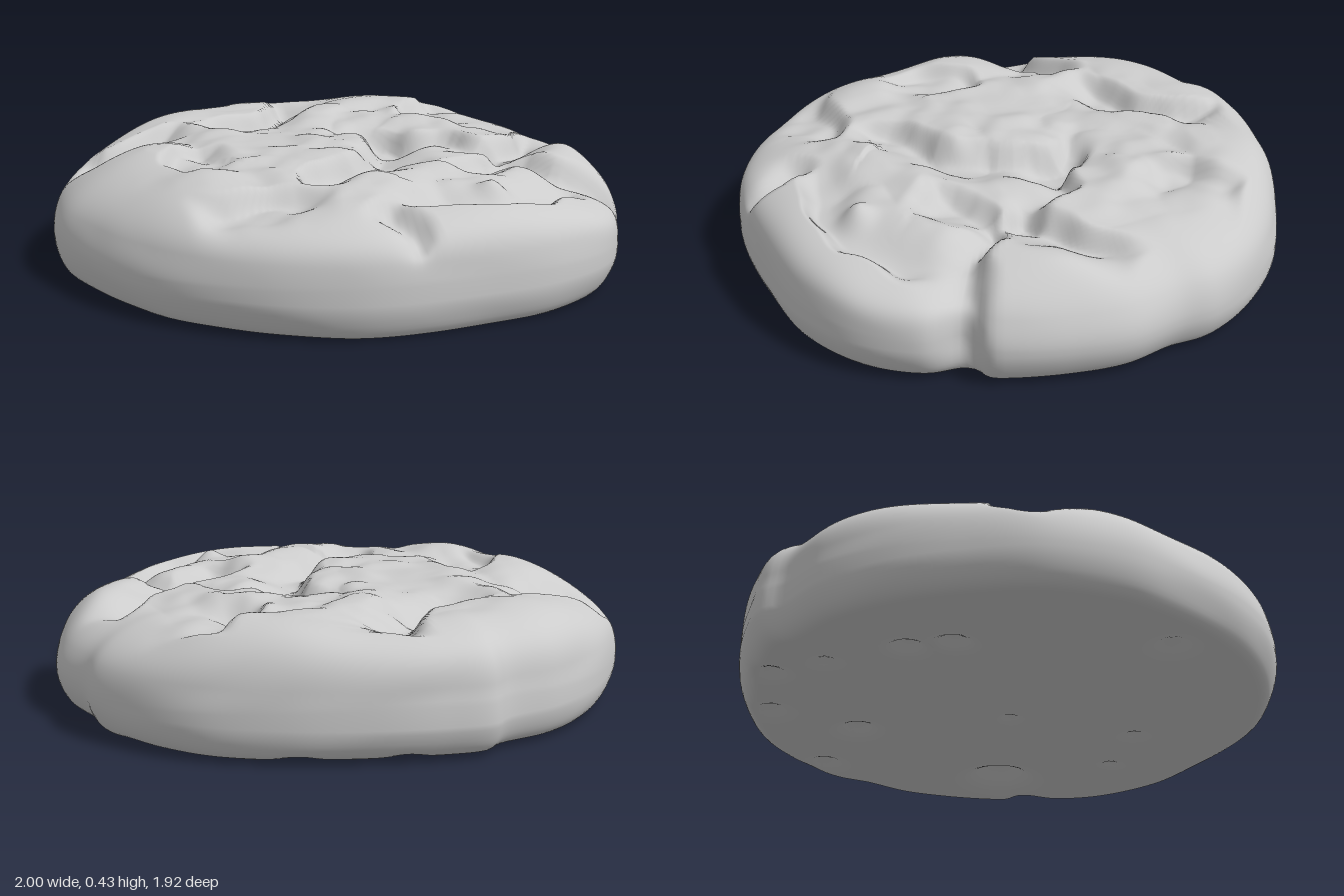
import * as THREE from 'three';

const SEGMENTS = 260;
const { smoothstep: smooth, clamp, lerp } = THREE.MathUtils;
const gauss = (d, w) => Math.exp(-(d * d) / (w * w));

// Irregular rim seen from above (x, z)
const OUTLINE = [
  [1, 0], [0.975, 0.2], [0.93, 0.36], [0.89, 0.44], [0.84, 0.46], [0.81, 0.5], [0.79, 0.62], [0.65, 0.8],
  [0.43, 0.91], [0.14, 0.95], [-0.15, 0.95], [-0.32, 0.91], [-0.52, 0.81], [-0.74, 0.615], [-0.885, 0.385],
  [-0.97, 0.13], [-1, -0.05], [-0.95, -0.32], [-0.82, -0.53], [-0.66, -0.71], [-0.45, -0.85],
  [-0.25, -0.91], [-0.18, -0.96], [-0.02, -0.955], [0.19, -0.915], [0.44, -0.83], [0.69, -0.685],
  [0.84, -0.52], [0.945, -0.32], [0.955, -0.19],
];

// Cracks in the crust: depth, width of the low side, path (x, z); the low side is on the right of the path
const CRACKS = [
  [0.09, 0.14, [[-0.86, -0.42], [-0.76, -0.33], [-0.6, -0.38], [-0.4, -0.46]]],
  [0.08, 0.15, [[-0.42, -0.36], [-0.25, -0.5], [-0.1, -0.55], [0, -0.68], [0.03, -0.84]]],
  [0.08, 0.17, [[-0.27, 0.52], [-0.2, 0.36], [0, 0.26], [0.15, 0.08], [0.18, -0.08], [0.06, -0.28]]],
  [0.06, 0.1, [[0.12, -0.26], [0.24, -0.1], [0.42, 0], [0.48, 0.14], [0.56, 0.19]]],
  [0.09, 0.11, [[0.44, 0.18], [0.55, 0.15], [0.68, 0.06], [0.86, -0.12]]],
  [0.06, 0.14, [[0.38, -0.3], [0.47, -0.42], [0.55, -0.5], [0.62, -0.6]]],
  [0.05, 0.14, [[-0.58, 0.3], [-0.6, 0.1], [-0.54, 0], [-0.4, -0.02]]],
  [0.06, 0.13, [[-0.7, 0.53], [-0.5, 0.55], [-0.38, 0.54], [-0.2, 0.6]]],
  [0.08, 0.15, [[0.2, 0.42], [0.3, 0.34], [0.56, 0.28], [0.66, 0.4], [0.84, 0.45], [1.05, 0.56]]],
  [0.06, 0.13, [[0.72, 0.52], [0.55, 0.64], [0.35, 0.73], [0.12, 0.73], [-0.14, 0.68]]],
  [0.06, 0.07, [[-0.12, 0.7], [-0.06, 0.84], [-0.06, 1]]],
].map(([depth, width, path]) => {
  const curve = new THREE.CatmullRomCurve3(path.map(([x, z]) => new THREE.Vector3(x, 0, z)));
  return { depth, width, points: curve.getPoints(16) };
});

// Rounded lumps and hollows on top: x, z, radius, height
const LUMPS = [
  [-0.53, -0.32, 0.07, 0.04], [0.08, -0.48, 0.1, 0.05], [0.6, -0.5, 0.14, 0.03], [0.34, 0.08, 0.12, 0.02],
  [0.3, 0.66, 0.05, 0.05], [0.83, 0.15, 0.18, 0.045], [-0.69, -0.05, 0.22, 0.05], [0.5, 0.42, 0.1, 0.02],
  [-0.1, 0.6, 0.2, 0.02], [-0.2, 0.1, 0.25, 0.015], [0.68, 0.66, 0.17, -0.03], [-0.62, 0.38, 0.2, 0.03],
  [0.45, -0.74, 0.22, 0.035], [0.2, 0.86, 0.2, 0.02], [-0.45, -0.62, 0.2, 0.02],
];

// Small pits in the base: x, z, radius, depth
const PITS = [
  [0.65, 0.29, 0.1, 0.08], [0.78, -0.39, 0.06, 0.03], [0.38, -0.74, 0.06, 0.03], [0.4, -0.4, 0.06, 0.04],
  [0.07, -0.84, 0.05, 0.03], [-0.32, -0.5, 0.05, 0.04], [-0.42, -0.38, 0.05, 0.04], [-0.7, 0.27, 0.06, 0.03],
  [0, 0.53, 0.04, 0.02], [0.05, 0.05, 0.03, 0.02], [-0.1, -0.7, 0.04, 0.02], [0.3, 0.6, 0.03, 0.02],
];

const sumSpots = (spots, x, z) =>
  spots.reduce((sum, [sx, sz, r, h]) => sum + h * gauss(Math.hypot(x - sx, z - sz), r), 0);

// Smooth value noise in the range -1 to 1
function hash(i, j) {
  const s = Math.sin(i * 127.1 + j * 311.7) * 43758.5453;
  return 2 * (s - Math.floor(s)) - 1;
}
function noise(x, z) {
  const i = Math.floor(x), j = Math.floor(z);
  const u = smooth(x - i, 0, 1), v = smooth(z - j, 0, 1);
  return lerp(lerp(hash(i, j), hash(i + 1, j), u), lerp(hash(i, j + 1), hash(i + 1, j + 1), u), v);
}

// Steep cliff on the high side, slow recovery on the low side
function crackHeight({ depth, width, points }, x, z) {
  let d = Infinity, side = 1, t = 0;
  for (let i = 0; i < points.length - 1; i++) {
    const a = points[i], dx = points[i + 1].x - a.x, dz = points[i + 1].z - a.z;
    const k = clamp(((x - a.x) * dx + (z - a.z) * dz) / (dx * dx + dz * dz), 0, 1);
    const distance = Math.hypot(x - a.x - k * dx, z - a.z - k * dz);
    if (distance < d) {
      d = distance;
      side = dx * (z - a.z) - dz * (x - a.x);
      t = (i + k) / (points.length - 1);
    }
  }
  const taper = smooth(4 * t * (1 - t), 0, 0.8);
  return -depth * taper * (side > 0 ? gauss(d, width) : 1 - smooth(d, 0, 0.07));
}

function crustRelief(x, z) {
  // Wander the crack lines so that they look torn
  const wx = x + 0.025 * noise(9 * x, 9 * z + 40), wz = z + 0.025 * noise(9 * x + 70, 9 * z);
  const cracks = CRACKS.reduce((sum, c) => sum + crackHeight(c, wx, wz), 0);
  const inner = 1 - smooth(Math.hypot(x, z), 0.55, 0.85);
  const lumpy = inner * (0.03 * Math.abs(noise(5 * x + 3, 5 * z + 8)) + 0.01 * noise(12 * x, 12 * z) - 0.015);
  return Math.max(-0.11, cracks) + sumSpots(LUMPS, x, z) + lumpy;
}

function createCookieGeometry() {
  const rim = new THREE.CatmullRomCurve3(OUTLINE.map(([x, z]) => new THREE.Vector3(x, 0, z)), true)
    .getSpacedPoints(SEGMENTS).slice(0, SEGMENTS);

  // Rings run from the top centre over the side to the base centre
  const rings = [];
  for (let i = 0; i <= 120; i++) rings.push({ f: 1 - (1 - i / 120) ** 2, top: true });
  for (let i = 1; i <= 10; i++) {
    const a = (i / 10) * Math.PI / 2;
    rings.push({ f: 0.93 + 0.07 * Math.cos(a), y: 0.13 - 0.115 * Math.sin(a) });
  }
  for (let i = 1; i <= 40; i++) rings.push({ f: 0.93 * (1 - i / 40), y: 0.015 });

  const positions = [], indices = [];
  for (const { f, top, y: ringY } of rings) {
    for (const edge of rim) {
      const angle = Math.atan2(edge.z, edge.x);
      let x = edge.x * f, z = edge.z * f, y = ringY;
      if (top) {
        // Boxier front and back, sloping left and right sides
        const power = 2.9 + 2.1 * Math.sin(angle) ** 2;
        const dome = Math.max(0, 1 - f ** power) ** (1 / power);
        const height = 0.295 - 0.035 * smooth(z, 0.3, 0.9) + 0.015 * smooth(-z, 0.2, 0.8);
        y = 0.13 + height * dome + crustRelief(x, z) * smooth(dome, 0.2, 0.9);
        y = Math.min(y, 0.44 + 0.25 * Math.max(0, y - 0.44));
      } else {
        const base = 1 - smooth(y, 0.015, 0.08);
        y = Math.max(0, y + base * (sumSpots(PITS, x, z) - 0.006 * z + 0.005 * noise(4 * x, 4 * z)));
      }
      // Split in the side beside the overhanging lobe, plus soft dents
      const sideWeight = smooth(f, 0.8, 1);
      const split = 0.035 * gauss(angle - 0.55, 0.06) * smooth(y, 0.03, 0.15);
      const dents = 0.007 * (1 + noise(edge.x * 4 + y * 5, edge.z * 4)) * smooth(Math.abs(y - 0.15), 0, 0.1);
      const pinch = 1 - sideWeight * (split + dents);
      positions.push(x * pinch, y, z * pinch);
    }
  }
  for (let i = 0; i < rings.length - 1; i++) {
    for (let j = 0; j < SEGMENTS; j++) {
      const k = (j + 1) % SEGMENTS;
      const a = i * SEGMENTS + j, b = i * SEGMENTS + k, c = a + SEGMENTS, d = b + SEGMENTS;
      if (i === 0) indices.push(a, d, c);
      else indices.push(a, b, c);
      if (i > 0 && i < rings.length - 2) indices.push(b, d, c);
    }
  }
  const geometry = new THREE.BufferGeometry();
  geometry.setAttribute('position', new THREE.Float32BufferAttribute(positions, 3));
  geometry.setIndex(indices);
  geometry.computeVertexNormals();
  return geometry;
}

export function createModel() {
  const group = new THREE.Group();
  group.name = 'crackedCookie';
  const cookie = new THREE.Mesh(createCookieGeometry(), new THREE.MeshStandardMaterial({ color: 0xcccccc }));
  cookie.name = 'cookie';
  group.add(cookie);
  return group;
}
